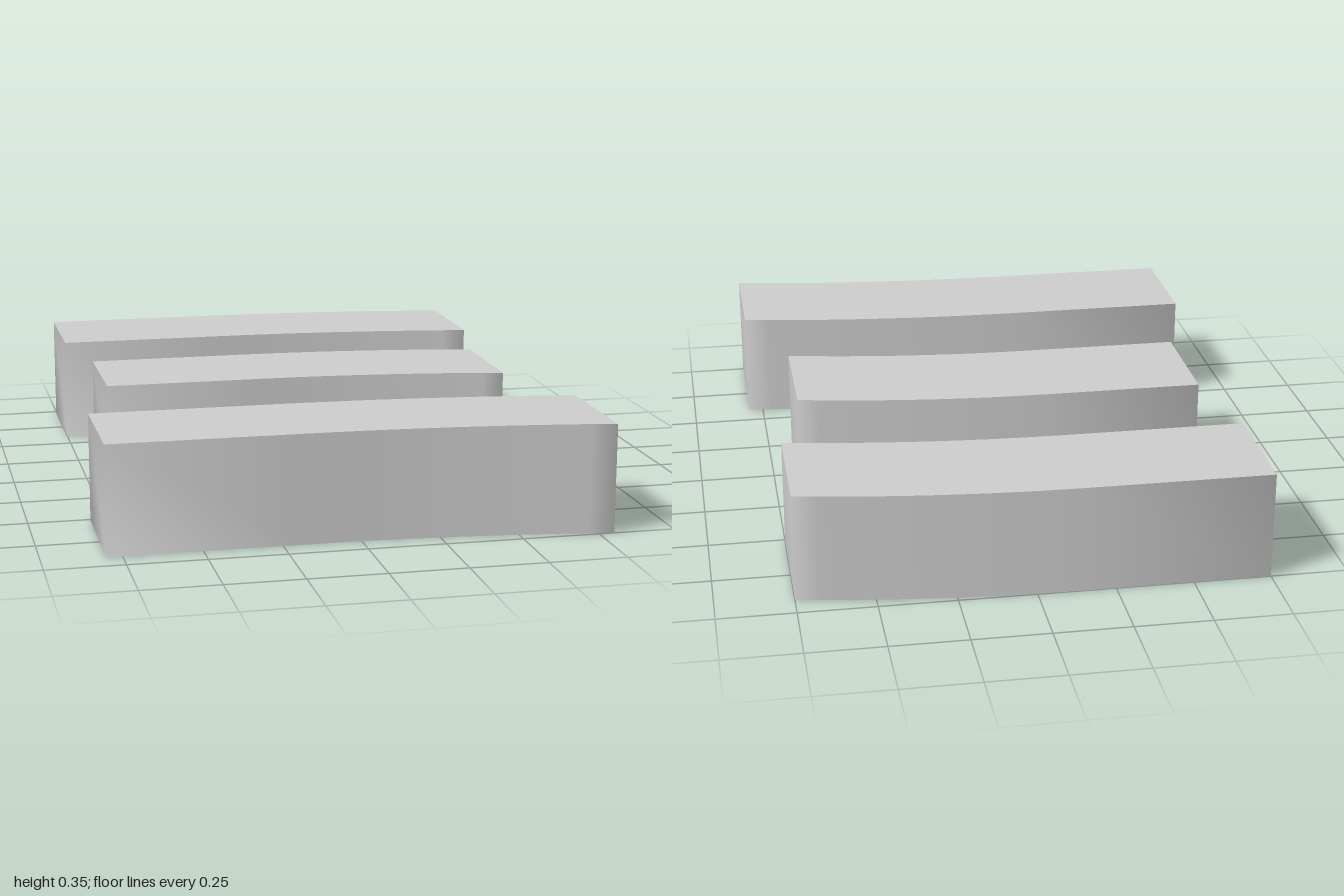
import * as THREE from 'three';
import { mergeVertices, mergeGeometries } from 'three/addons/utils/BufferGeometryUtils.js';

const HEIGHT = 0.355;
const DEPTH = 0.4;
const BEND = 0.085; // how far the right-hand end sweeps forward
const SEGMENTS = 12;

// Plan outline: a straight run followed by a gentle sweep, with parallel long edges
function barOutline(x0, x1, zBack) {
  const start = x0 + (x1 - x0) * 0.39;
  const back = [[x0, zBack]];
  for (let i = 0; i <= SEGMENTS; i++) {
    const t = i / SEGMENTS;
    back.push([start + (x1 - start) * t, zBack + BEND * t * t]);
  }
  const front = back.map(([x, z]) => [x, z + DEPTH]);
  // The extrusion is laid flat later, so shape y is -z
  return new THREE.Shape([...front, ...back.reverse()].map(([x, z]) => new THREE.Vector2(x, -z)));
}

// Flat top and bottom, with one continuous smooth-shaded side wall
function barGeometry(x0, x1, zBack) {
  const solid = new THREE.ExtrudeGeometry(barOutline(x0, x1, zBack), { depth: HEIGHT, bevelEnabled: false });
  solid.rotateX(-Math.PI / 2);
  const positions = solid.getAttribute('position').array;
  const [caps, walls] = solid.groups.map(({ start, count }) => {
    const part = new THREE.BufferGeometry();
    part.setAttribute('position', new THREE.BufferAttribute(positions.slice(start * 3, (start + count) * 3), 3));
    const welded = mergeVertices(part, 1e-4);
    welded.computeVertexNormals();
    return welded;
  });
  return mergeGeometries([caps, walls]);
}

export function createModel() {
  const group = new THREE.Group();
  group.name = 'curvedBars';
  const material = new THREE.MeshStandardMaterial({ color: 0xcccccc });

  // Three bars: name, left end x, right end x, z of the back edge
  const bars = [
    ['backBar', -0.75, 0.75, -1],
    ['middleBar', -0.69, 0.67, -0.26],
    ['frontBar', -0.8, 0.8, 0.515],
  ];
  for (const [name, x0, x1, zBack] of bars) {
    const bar = new THREE.Mesh(barGeometry(x0, x1, zBack), material);
    bar.name = name;
    group.add(bar);
  }
  return group;
}
